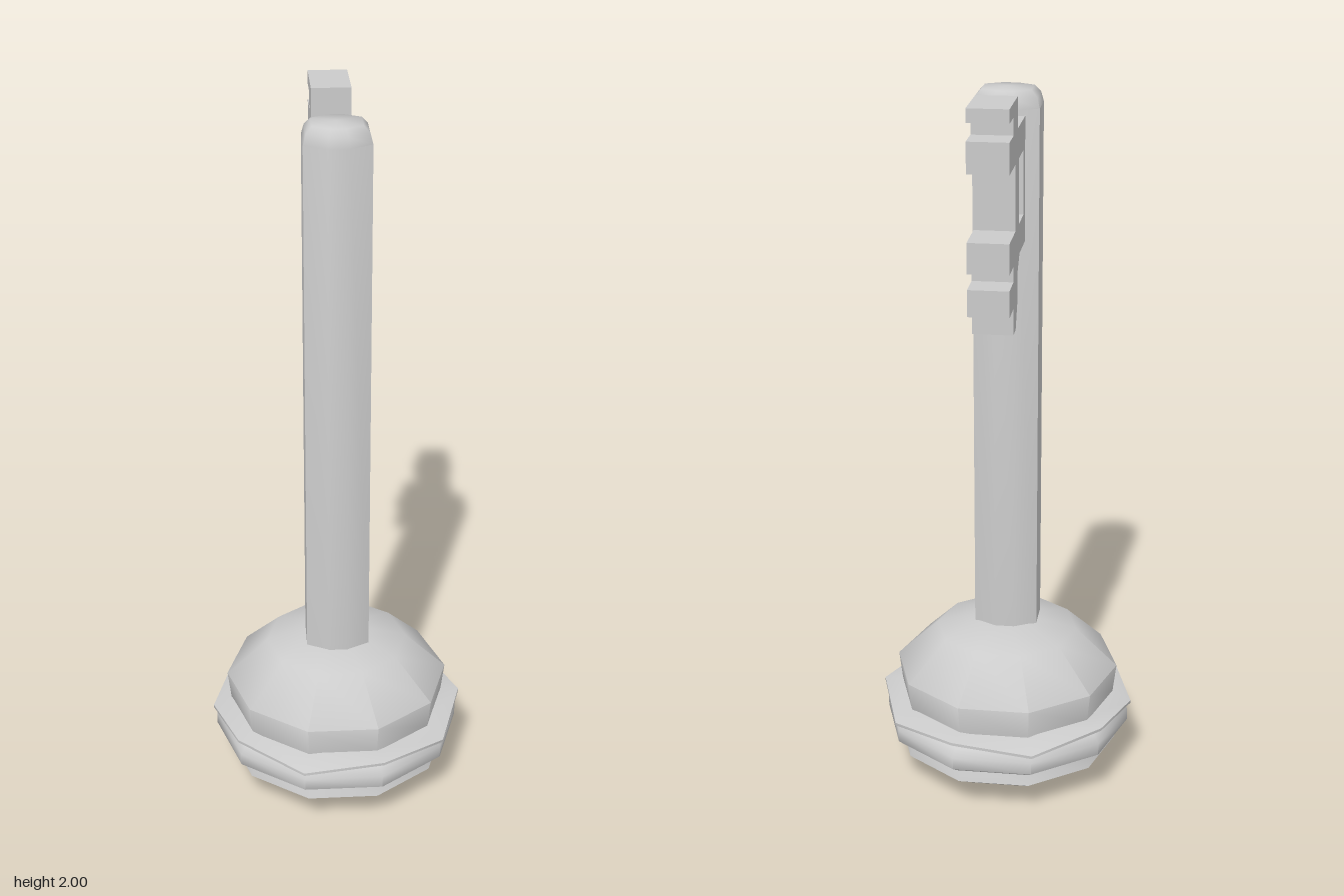
import * as THREE from 'three';
import { toCreasedNormals } from 'three/addons/utils/BufferGeometryUtils.js';

const material = new THREE.MeshStandardMaterial({ color: 0xcccccc });

// Turned solid with few sides; "rule" may move each vertex before normals are made
function turned(name, profile, sides, rule) {
  const points = profile.map(([r, y]) => new THREE.Vector2(r, y));
  const geo = new THREE.LatheGeometry(points, sides, Math.PI / sides);
  if (rule) {
    const pos = geo.attributes.position;
    const v = new THREE.Vector3();
    for (let i = 0; i < pos.count; i++) {
      v.fromBufferAttribute(pos, i);
      rule(v, Math.floor(i / profile.length) % sides);
      pos.setXYZ(i, v.x, v.y, v.z);
    }
  }
  const mesh = new THREE.Mesh(toCreasedNormals(geo, Math.PI / 3), material);
  mesh.name = name;
  return mesh;
}

// Lettuce rim rises and falls from corner to corner
function waveRim(v, corner) {
  if (Math.hypot(v.x, v.z) > 0.35) v.y += corner % 2 ? -0.013 : 0.013;
}

// Shaft section: wide side faces, narrow front and back faces
function shaftSection(v) {
  const major = Math.cos(Math.PI / 8);
  const minor = Math.sin(Math.PI / 8);
  const onSide = Math.abs(v.x) > Math.abs(v.z);
  v.x *= onSide ? 0.088 / major : 0.027 / minor;
  v.z *= onSide ? 0.049 / minor : 0.083 / major;
}

const toPoints = (list) => list.map(([u, y]) => new THREE.Vector2(u, y));

export function createModel() {
  const group = new THREE.Group();
  group.name = 'burgerKey';

  // Burger handle: ten-sided layers with a corner on the x axis
  const handle = new THREE.Group();
  handle.name = 'burgerHandle';
  handle.position.z = 0.007;
  handle.add(
    turned('bottomBun', [[0, 0], [0.2, 0.02], [0.317, 0.092], [0.302, 0.137], [0, 0.137]], 10),
    turned('patty', [[0, 0.135], [0.33, 0.135], [0.352, 0.15], [0.352, 0.185], [0.335, 0.207], [0, 0.207]], 10),
    turned('lettuce', [[0, 0.205], [0.3, 0.205], [0.361, 0.218], [0.361, 0.226], [0.3, 0.246], [0, 0.246]], 10, waveRim),
    turned('topBun', [[0, 0.24], [0.308, 0.24], [0.318, 0.325], [0.2, 0.437], [0.085, 0.465], [0, 0.467]], 10)
  );
  group.add(handle);

  // Shaft: eight-sided with a rounded end
  const shaft = turned('shaft', [[0, 0.4], [1, 0.4], [1, 1.935], [0.92, 1.962], [0.74, 1.98], [0, 1.984]], 8, shaftSection);
  shaft.position.z = 0.025;
  group.add(shaft);

  // Key bit: toothed plate (distance behind the axis, height) with a window
  const shape = new THREE.Shape(toPoints([
    [0.042, 1.92], [0.2, 1.92], [0.2, 2], [0.367, 2], [0.367, 1.965], [0.287, 1.965], [0.287, 1.92],
    [0.367, 1.92], [0.367, 1.84], [0.245, 1.84], [0.245, 1.67], [0.367, 1.67], [0.367, 1.59],
    [0.287, 1.59], [0.287, 1.55], [0.367, 1.55], [0.367, 1.48], [0.287, 1.48], [0.287, 1.41],
    [0.238, 1.41], [0.202, 1.475], [0.202, 1.55], [0.16, 1.59], [0.042, 1.59],
  ]));
  shape.holes.push(new THREE.Path(toPoints([[0.078, 1.84], [0.078, 1.67], [0.172, 1.67], [0.172, 1.84]])));
  const bitGeo = new THREE.ExtrudeGeometry(shape, { depth: 0.106, bevelEnabled: false });
  bitGeo.translate(0, 0, -0.053).rotateY(Math.PI / 2);
  const bit = new THREE.Mesh(bitGeo, material);
  bit.name = 'keyBit';
  group.add(bit);

  return group;
}
